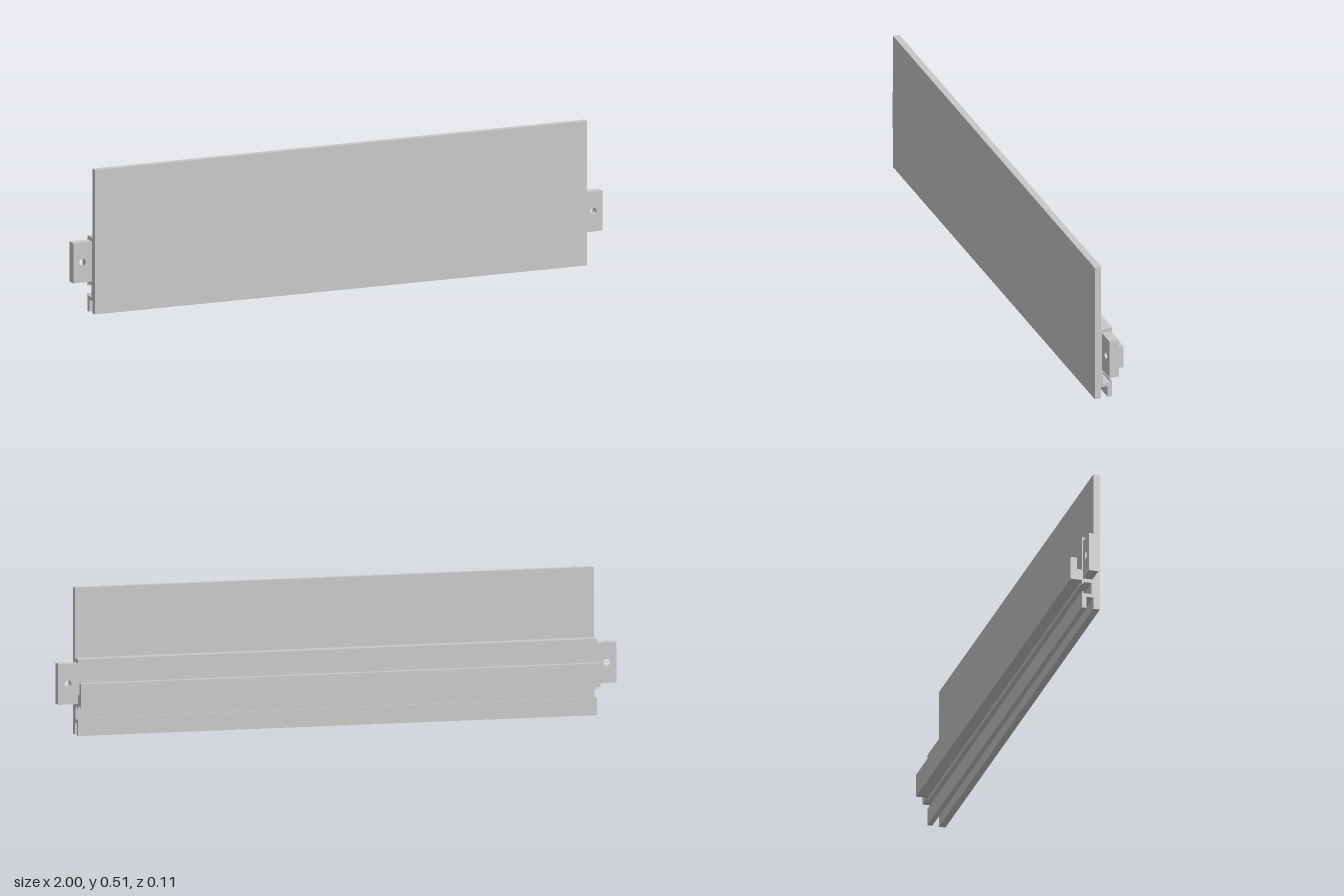
import * as THREE from 'three';

const HALF = 0.93; // half length of the extruded rail

export function createModel() {
  const model = new THREE.Group();
  const grey = new THREE.MeshStandardMaterial({ color: 0xc8c8c8 });
  grey.name = 'lightGrey';

  // Constant cross-section as [z, y]: tall face plate, box rail, rear hook, slots below
  const section = [
    [0.053, 0], [0.029, 0], [0.029, 0.042], [0.005, 0.042], [0.005, 0], [-0.012, 0],
    [-0.012, 0.062], [-0.006, 0.062], [-0.006, 0.055], [0.023, 0.055], [0.023, 0.097],
    [-0.006, 0.097], [-0.006, 0.09], [-0.012, 0.09], [-0.012, 0.104], [-0.053, 0.104],
    [-0.053, 0.187], [-0.029, 0.187], [-0.029, 0.144], [-0.012, 0.144],
    [-0.012, 0.267], [0.029, 0.267], [0.029, 0.512], [0.053, 0.512],
  ];
  const profile = new THREE.Shape(section.map(([z, y]) => new THREE.Vector2(-z, y)));
  const railGeo = new THREE.ExtrudeGeometry(profile, { depth: 2 * HALF, bevelEnabled: false });
  railGeo.translate(0, 0, -HALF).rotateY(Math.PI / 2);
  const rail = new THREE.Mesh(railGeo, grey);
  rail.name = 'profiledPanel';
  model.add(rail);

  // Drilled mounting tab at each end, rooted inside the box rail
  for (const side of [-1, 1]) {
    const inner = side * (HALF - 0.03);
    const tab = new THREE.Shape([
      new THREE.Vector2(inner, 0.111), new THREE.Vector2(side, 0.111),
      new THREE.Vector2(side, 0.253), new THREE.Vector2(inner, 0.253),
    ]);
    const hole = new THREE.Path();
    hole.absarc(side * 0.965, 0.183, 0.012, 0, Math.PI * 2, true);
    tab.holes.push(hole);
    const geo = new THREE.ExtrudeGeometry(tab, { depth: 0.034, bevelEnabled: false, curveSegments: 16 });
    geo.translate(0, 0, -0.008);
    const mesh = new THREE.Mesh(geo, grey);
    mesh.name = side > 0 ? 'leftMountingTab' : 'rightMountingTab';
    model.add(mesh);
  }
  return model;
}
